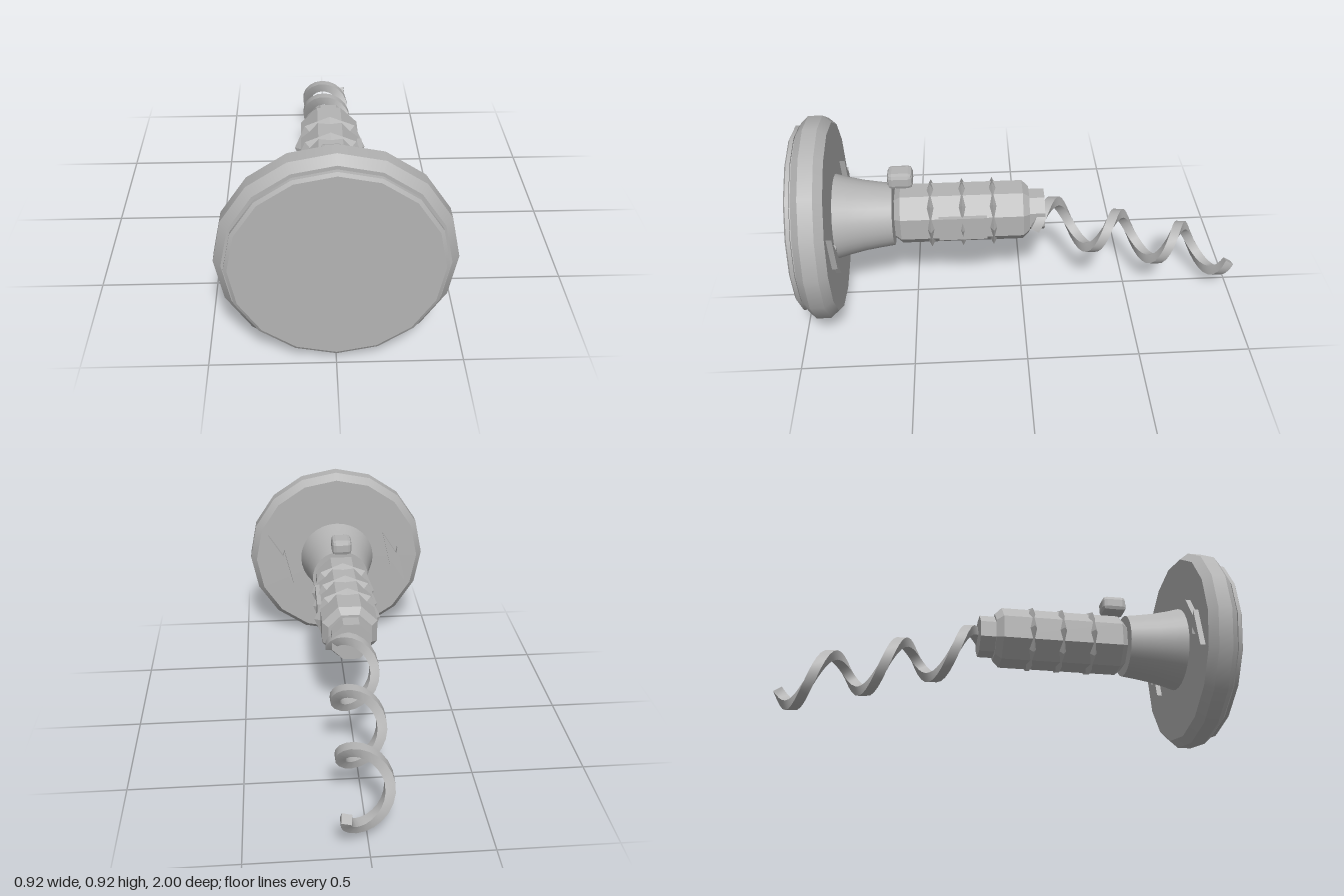
import * as THREE from 'three';
import { mergeGeometries } from 'three/addons/utils/BufferGeometryUtils.js';
import { RoundedBoxGeometry } from 'three/addons/geometries/RoundedBoxGeometry.js';

const AXIS_Y = 0.461;

// Turned part along z; profile is [radius, z] from back to front.
function turned(profile, sides, phi = 0) {
  const pts = profile.map(([r, z]) => new THREE.Vector2(r, z));
  return new THREE.LatheGeometry(pts, sides, phi).rotateX(Math.PI / 2);
}

// Smooth around the axis, sharp between profile steps.
function stepped(profile, sides) {
  return mergeGeometries(profile.slice(1).map((p, i) => turned([profile[i], p], sides)));
}

// Fully faceted geometry.
function faceted(geometry) {
  const g = geometry.index ? geometry.toNonIndexed() : geometry;
  g.computeVertexNormals();
  return g;
}

// Square-section helix, sagging as it runs back; each side is its own strip.
function coilGeometry() {
  const steps = 60, t0 = -Math.PI * 2 + 0.05, t1 = Math.PI * 4 + 0.25;
  const A = 0.094, half = 0.021, pitch = 0.305, slope = 0.278;
  const rings = [];
  for (let i = 0; i <= steps; i++) {
    const t = t0 + (t1 - t0) * i / steps, dz = -pitch / (Math.PI * 2);
    const z = -0.36 + dz * t;
    const c = new THREE.Vector3(A * Math.cos(t), 0.43 + slope * z + A * Math.sin(t), z);
    const T = new THREE.Vector3(-A * Math.sin(t), A * Math.cos(t) + slope * dz, dz).normalize();
    const n = new THREE.Vector3(Math.cos(t), Math.sin(t), 0);
    n.addScaledVector(T, -n.dot(T)).normalize();
    const b = new THREE.Vector3().crossVectors(T, n);
    rings.push([[1, 1], [-1, 1], [-1, -1], [1, -1]].map(([u, v]) =>
      c.clone().addScaledVector(n, u * half).addScaledVector(b, v * half)));
  }
  const pos = [], idx = [];
  const add = (p) => pos.push(p.x, p.y, p.z);
  for (let s = 0; s < 4; s++) {
    const base = pos.length / 3;
    rings.forEach((r) => { add(r[s]); add(r[(s + 1) % 4]); });
    for (let i = 0; i < steps; i++) {
      const a = base + i * 2;
      idx.push(a, a + 1, a + 3, a, a + 3, a + 2);
    }
  }
  // End caps
  for (const [ring, order] of [[rings[0], [0, 2, 1, 0, 3, 2]], [rings[steps], [0, 1, 2, 0, 2, 3]]]) {
    const base = pos.length / 3;
    ring.forEach(add);
    idx.push(...order.map((o) => base + o));
  }
  const g = new THREE.BufferGeometry();
  g.setAttribute('position', new THREE.Float32BufferAttribute(pos, 3));
  g.setIndex(idx);
  g.computeVertexNormals();
  return g;
}

export function createModel() {
  const model = new THREE.Group();
  model.name = 'handheldTool';
  const grey = new THREE.MeshStandardMaterial({ color: 0xb4b4b4 });
  grey.name = 'grey';
  const add = (name, geometry, x = 0, y = AXIS_Y, z = 0) => {
    const mesh = new THREE.Mesh(geometry, grey);
    mesh.name = name;
    mesh.position.set(x, y, z);
    model.add(mesh);
    return mesh;
  };

  // Wide front head with chamfered rim and grooved face
  add('headDisc', stepped([
    [0, 0.836], [0.43, 0.836], [0.461, 0.872], [0.461, 0.935], [0.43, 0.968],
    [0.41, 0.968], [0.41, 0.976], [0.42, 0.976], [0.42, 0.992], [0.406, 1], [0, 1],
  ], 16));

  // Flared neck behind the head
  add('flare', mergeGeometries([
    turned([[0, 0.58], [0.142, 0.58]], 32),
    turned([[0.142, 0.58], [0.15, 0.64], [0.161, 0.71], [0.176, 0.775], [0.193, 0.838]], 32),
  ]));

  // Octagonal grip and rear collar, flats facing up
  const k = 1 / Math.cos(Math.PI / 8);
  const octagon = (profile) =>
    faceted(turned(profile.map(([r, z]) => [r * k, z]), 8, Math.PI / 8));
  add('grip', octagon([[0, -0.035], [0.1, -0.035], [0.127, -0.005], [0.127, 0.545], [0.105, 0.572], [0, 0.572]]));
  add('collar', octagon([[0, -0.105], [0.088, -0.105], [0.088, -0.03]]));

  // Sharp ribs, turned so corners sit over the grip's flats
  for (const z of [0.41, 0.268, 0.13]) {
    add('rib', faceted(turned([[0.11, -0.024], [0.156, 0], [0.11, 0.024]], 8)), 0, AXIS_Y, z);
  }

  // Side plate and top button
  add('sidePlate', new THREE.BoxGeometry(0.04, 0.115, 0.215), 0.12, 0.464, 0.267);
  add('button', faceted(new RoundedBoxGeometry(0.098, 0.075, 0.112, 1, 0.02)), -0.002, 0.661, 0.538);

  // Raised zigzag ornaments on the back of the head
  const zigzag = new THREE.Shape([
    [0.062, 0.14], [-0.012, 0.022], [-0.018, 0.052], [-0.062, -0.14], [0.012, -0.022], [0.018, -0.052],
  ].map(([x, y]) => new THREE.Vector2(x, y)));
  for (const x of [-0.305, 0.3]) {
    add('zigzagOrnament', new THREE.ExtrudeGeometry(zigzag, { depth: 0.028, bevelEnabled: false }), x, AXIS_Y, 0.812);
  }

  // Curled tail
  add('coilTail', coilGeometry(), 0, 0, 0);
  return model;
}
